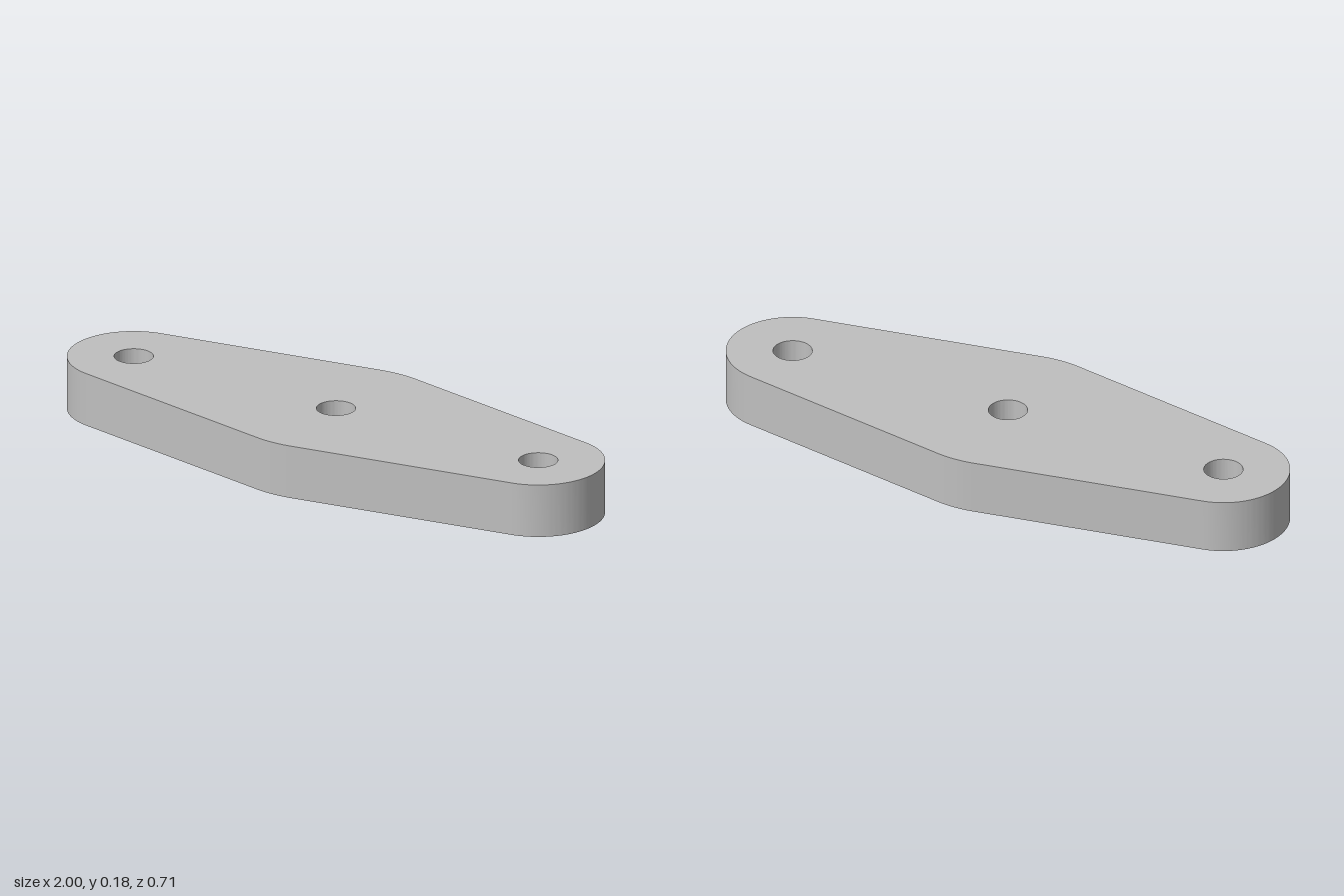
import * as THREE from 'three';
import { toCreasedNormals } from 'three/addons/utils/BufferGeometryUtils.js';

const HEIGHT = 0.179;
const MID_RADIUS = 0.357;
const END_RADIUS = 0.214;
const END_X = 1 - END_RADIUS;
const HOLE_RADIUS = 0.063;

export function createModel() {
  const group = new THREE.Group();
  group.name = 'mountingPlate';

  const steel = new THREE.MeshStandardMaterial({ color: 0xbfbfbf });
  steel.name = 'grey steel';

  // Outline: a large middle circle and two end circles joined by tangent lines
  const a = Math.acos((MID_RADIUS - END_RADIUS) / END_X);
  const outline = new THREE.Shape();
  outline.absarc(END_X, 0, END_RADIUS, -a, a, false);
  outline.absarc(0, 0, MID_RADIUS, a, Math.PI - a, false);
  outline.absarc(-END_X, 0, END_RADIUS, Math.PI - a, Math.PI + a, false);
  outline.absarc(0, 0, MID_RADIUS, Math.PI + a, 2 * Math.PI - a, false);

  // Three through holes along the centre line
  for (const x of [-END_X, 0, END_X]) {
    const hole = new THREE.Path();
    hole.absarc(x, 0, HOLE_RADIUS, 0, Math.PI * 2, true);
    outline.holes.push(hole);
  }

  const extruded = new THREE.ExtrudeGeometry(outline, {
    depth: HEIGHT, bevelEnabled: false, curveSegments: 40,
  });
  extruded.rotateX(-Math.PI / 2);

  // Smooth rounded walls with sharp top and bottom rims
  const plate = new THREE.Mesh(toCreasedNormals(extruded, 0.6), steel);
  plate.name = 'plate';
  group.add(plate);
  return group;
}
